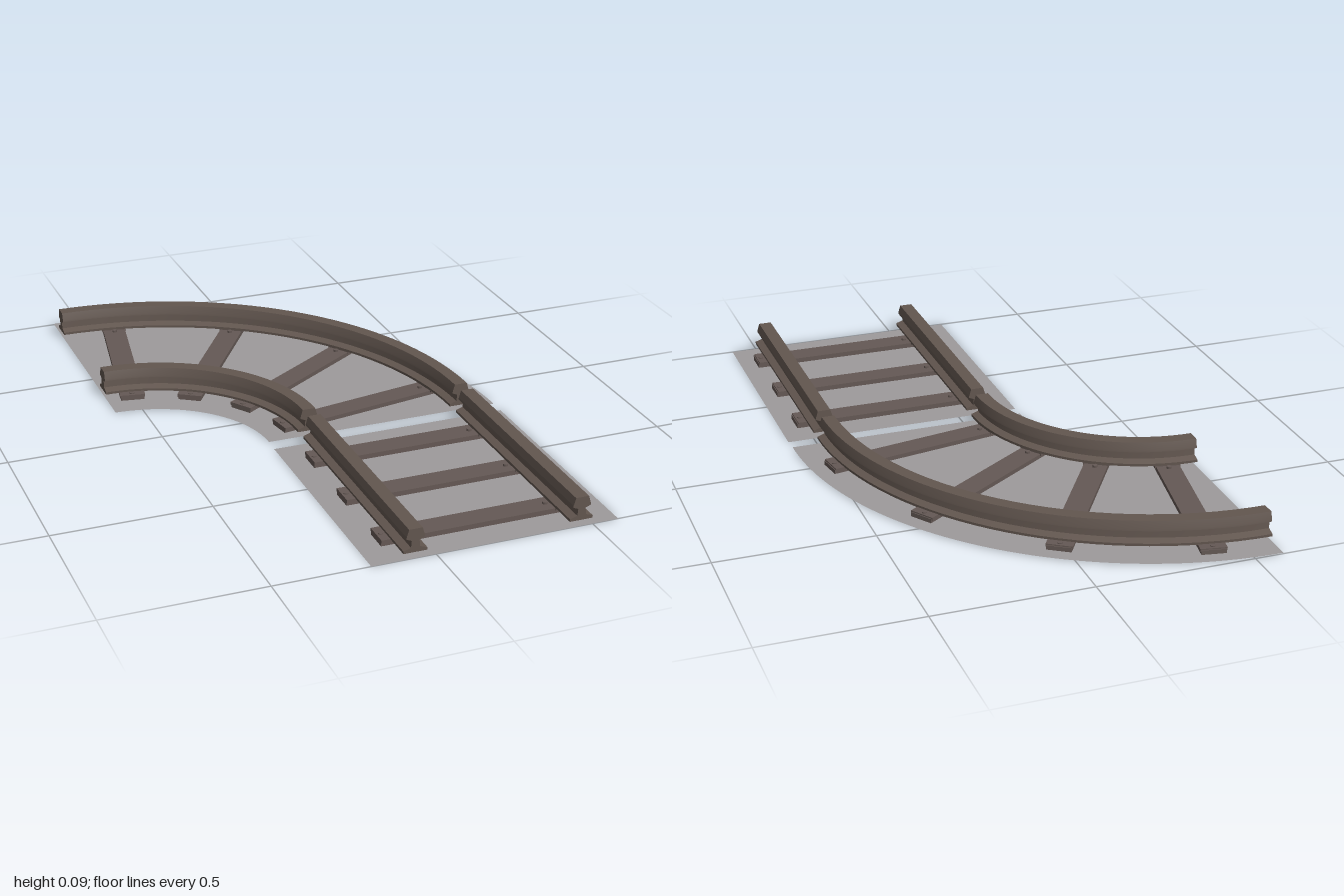
import * as THREE from 'three';
import { toCreasedNormals } from 'three/addons/utils/BufferGeometryUtils.js';

const railMat = new THREE.MeshStandardMaterial({ name: 'rail brown', color: 0x62564f });
const tieMat = new THREE.MeshStandardMaterial({ name: 'tie brown', color: 0x655955 });
const bedMat = new THREE.MeshStandardMaterial({ name: 'bed grey', color: 0x9e9b9c, side: THREE.DoubleSide });

// centre of the bend, and rail distances from it
const CX = -0.59, CZ = 0.163;
const RAILS = [0.525, 1.052];

function add(parent, name, geometry, material) {
  const mesh = new THREE.Mesh(geometry, material);
  mesh.name = name;
  parent.add(mesh);
  return mesh;
}

// rail cross-section: foot, web and tapered head
function railShape() {
  const half = [
    [0.037, 0.02], [0.037, 0.028], [0.014, 0.036], [0.012, 0.058],
    [0.029, 0.065], [0.028, 0.071], [0.021, 0.095],
  ];
  const left = half.map(([x, y]) => [-x, y]).reverse();
  return new THREE.Shape([...half, ...left].map(([x, y]) => new THREE.Vector2(x, y)));
}

function straightRail(x) {
  const g = new THREE.ExtrudeGeometry(railShape(), { depth: 0.79, bevelEnabled: false });
  g.translate(x, 0, 0.21);
  return g;
}

// extrude the section, then bend it through a quarter turn
function curvedRail(radius) {
  const g = new THREE.ExtrudeGeometry(railShape(), { depth: 1, steps: 32, bevelEnabled: false });
  const p = g.attributes.position;
  for (let i = 0; i < p.count; i++) {
    const r = radius + p.getX(i);
    const a = (1 - p.getZ(i)) * Math.PI / 2;
    p.setXYZ(i, CX + r * Math.cos(a), p.getY(i), CZ - r * Math.sin(a));
  }
  return toCreasedNormals(g, 0.3);
}

// one sleeper along +x, with rail plates and bolts, measured from the bend centre
function createTie() {
  const tie = new THREE.Group();
  tie.name = 'tie';
  const beam = add(tie, 'tieBeam', new THREE.BoxGeometry(0.66, 0.016, 0.076), tieMat);
  beam.position.set(0.79, 0.009, 0);
  for (const r of RAILS) {
    const plate = add(tie, 'railPlate', new THREE.BoxGeometry(0.1, 0.01, 0.082), tieMat);
    plate.position.set(r + (r < 0.8 ? -0.015 : 0.015), 0.016, 0);
    for (const s of [-1, 1]) {
      const bolt = add(tie, 'bolt', new THREE.CylinderGeometry(0.008, 0.008, 0.008, 8), tieMat);
      bolt.position.set(r + s * 0.051, 0.02, 0);
    }
  }
  return tie;
}

export function createModel() {
  const model = new THREE.Group();
  model.name = 'railTrack';

  // straight section
  const straight = new THREE.Group();
  straight.name = 'straightTrack';
  const bed = new THREE.PlaneGeometry(0.785, 0.79).rotateX(-Math.PI / 2);
  add(straight, 'straightBed', bed, bedMat).position.set(0.1925, 0, 0.605);
  for (const r of RAILS) add(straight, 'straightRail', straightRail(CX + r), railMat);
  for (const z of [0.34, 0.603, 0.867]) {
    const tie = createTie();
    tie.position.set(CX, 0, z);
    straight.add(tie);
  }
  model.add(straight);

  // quarter-turn section
  const curve = new THREE.Group();
  curve.name = 'curvedTrack';
  const outline = new THREE.Shape();
  outline.absellipse(0, 0, 1.173, 1.163, 0, Math.PI / 2, false);
  outline.absellipse(0, 0, 0.39, 0.38, Math.PI / 2, 0, true);
  const curveBed = new THREE.ShapeGeometry(outline, 32).rotateX(-Math.PI / 2);
  add(curve, 'curvedBed', curveBed, bedMat).position.set(CX, 0.003, CZ);
  for (const r of RAILS) add(curve, 'curvedRail', curvedRail(r), railMat);
  for (let i = 0; i < 4; i++) {
    const tie = createTie();
    tie.position.set(CX, 0, CZ);
    tie.rotation.y = THREE.MathUtils.degToRad(10 + i * 70 / 3);
    curve.add(tie);
  }
  model.add(curve);

  return model;
}
